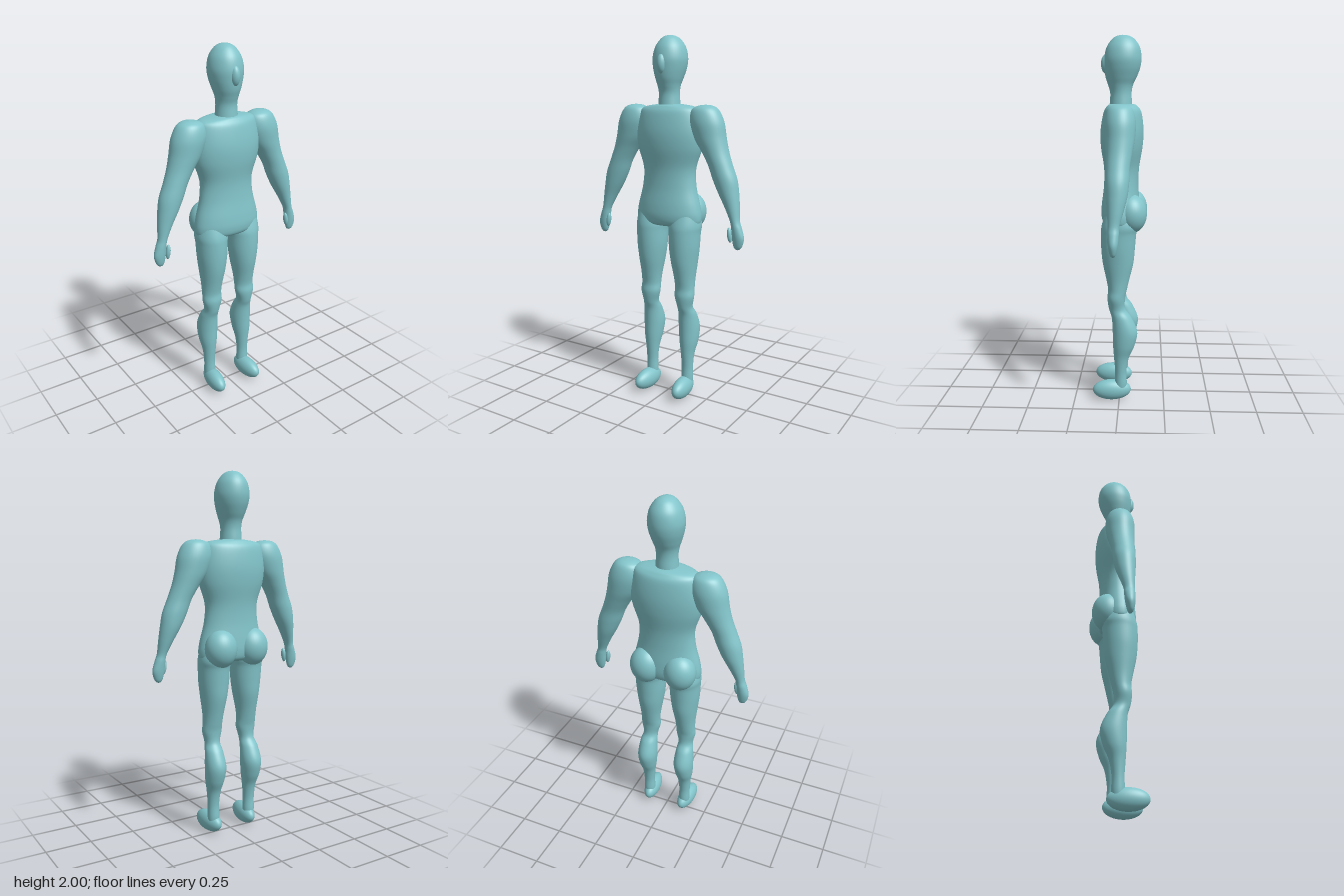
import * as THREE from 'three';

const skin = new THREE.MeshStandardMaterial({ color: 0x82c4ca });
skin.name = 'teal';

// Smooth skin through horizontal elliptical sections, listed top to bottom:
// [y, xMin, xMax, zBack, zFront]
function loft(name, rows, side = 1, steps = 6, around = 40) {
  const centre = new THREE.CatmullRomCurve3(
    rows.map(([y, x0, x1, z0, z1]) => new THREE.Vector3(side * (x0 + x1) / 2, y, (z0 + z1) / 2)), false, 'catmullrom');
  const radius = new THREE.CatmullRomCurve3(
    rows.map(([, x0, x1, z0, z1]) => new THREE.Vector3((x1 - x0) / 2, 0, (z1 - z0) / 2)), false, 'catmullrom');
  const n = (rows.length - 1) * steps;
  const pos = [], index = [];
  for (let i = 0; i <= n; i++) {
    const c = centre.getPoint(i / n), r = radius.getPoint(i / n);
    for (let j = 0; j < around; j++) {
      const a = (j / around) * Math.PI * 2;
      pos.push(c.x + Math.max(r.x, 0.0005) * Math.cos(a), c.y, c.z + Math.max(r.z, 0.0005) * Math.sin(a));
      if (i < n) {
        const p = i * around + j, q = i * around + (j + 1) % around;
        index.push(p, q, p + around, q, q + around, p + around);
      }
    }
  }
  const g = new THREE.BufferGeometry();
  g.setAttribute('position', new THREE.Float32BufferAttribute(pos, 3));
  g.setIndex(index);
  g.computeVertexNormals();
  const m = new THREE.Mesh(g, skin);
  m.name = name;
  return m;
}

function ellipsoid(name, [x, y, z], [rx, ry, rz]) {
  const g = new THREE.SphereGeometry(1, 36, 24);
  g.scale(rx, ry, rz);
  const m = new THREE.Mesh(g, skin);
  m.name = name;
  m.position.set(x, y, z);
  return m;
}

// Symmetric section for parts on the centre line
const mid = (y, w, z0, z1) => [y, -w, w, z0, z1];

export function createModel() {
  const body = new THREE.Group();
  body.name = 'figure';

  // Head, running into the neck
  body.add(loft('headAndNeck', [
    mid(2.0, 0, -0.015, -0.015), mid(1.994, 0.028, -0.05, 0.018), mid(1.975, 0.055, -0.08, 0.045),
    mid(1.935, 0.081, -0.106, 0.072), mid(1.88, 0.093, -0.114, 0.085), mid(1.83, 0.088, -0.107, 0.084),
    mid(1.78, 0.074, -0.088, 0.077), mid(1.74, 0.061, -0.069, 0.064), mid(1.7, 0.056, -0.062, 0.053),
    mid(1.65, 0.059, -0.064, 0.055), mid(1.6, 0.064, -0.066, 0.06),
  ]));
  body.add(ellipsoid('nose', [0, 1.85, 0.072], [0.026, 0.052, 0.03]));

  // Trunk from the shoulder line to the crotch
  body.add(loft('torso', [
    mid(1.645, 0.01, -0.02, 0.01), mid(1.64, 0.08, -0.075, 0.055), mid(1.625, 0.16, -0.098, 0.073),
    mid(1.59, 0.185, -0.117, 0.09), mid(1.5, 0.2, -0.127, 0.105), mid(1.41, 0.192, -0.122, 0.103),
    mid(1.3, 0.158, -0.104, 0.087), mid(1.2, 0.163, -0.101, 0.088), mid(1.1, 0.188, -0.108, 0.1),
    mid(1.04, 0.197, -0.108, 0.102), mid(1.0, 0.186, -0.095, 0.09), mid(0.985, 0.13, -0.06, 0.055),
    mid(0.985, 0.0, 0, 0),
  ]));

  for (const [label, s] of [['left', 1], ['right', -1]]) {
    body.add(ellipsoid(label + 'Buttock', [s * 0.1, 1.06, -0.065], [0.09, 0.105, 0.084]));

    // Shoulder to fingertips
    body.add(loft(label + 'Arm', [
      [1.641, 0.22, 0.22, -0.01, -0.01], [1.634, 0.175, 0.262, -0.05, 0.03], [1.61, 0.14, 0.294, -0.076, 0.057],
      [1.55, 0.13, 0.323, -0.09, 0.071], [1.47, 0.16, 0.338, -0.086, 0.068], [1.4, 0.208, 0.356, -0.074, 0.062],
      [1.33, 0.25, 0.382, -0.063, 0.06], [1.26, 0.278, 0.41, -0.06, 0.06], [1.19, 0.312, 0.423, -0.052, 0.056],
      [1.12, 0.352, 0.432, -0.034, 0.049], [1.05, 0.387, 0.439, -0.014, 0.044], [1.01, 0.396, 0.453, -0.012, 0.044],
      [0.96, 0.401, 0.467, -0.008, 0.042], [0.92, 0.409, 0.459, 0.0, 0.036], [0.902, 0.419, 0.447, 0.008, 0.028],
      [0.896, 0.434, 0.434, 0.018, 0.018],
    ], s));
    const thumb = ellipsoid(label + 'Thumb', [s * 0.393, 0.975, 0.033], [0.013, 0.04, 0.015]);
    thumb.rotation.z = s * 0.12;
    body.add(thumb);

    // Hip to ankle
    body.add(loft(label + 'Leg', [
      [1.08, 0.03, 0.18, -0.07, 0.07], [1.0, 0.014, 0.194, -0.1, 0.094], [0.95, 0.018, 0.191, -0.092, 0.099],
      [0.87, 0.022, 0.187, -0.085, 0.098], [0.79, 0.033, 0.178, -0.077, 0.09], [0.7, 0.049, 0.168, -0.056, 0.071],
      [0.64, 0.055, 0.166, -0.042, 0.061], [0.59, 0.055, 0.168, -0.032, 0.065], [0.53, 0.07, 0.156, -0.034, 0.056],
      [0.48, 0.066, 0.166, -0.068, 0.041], [0.4, 0.06, 0.174, -0.1, 0.036], [0.32, 0.067, 0.17, -0.085, 0.034],
      [0.25, 0.079, 0.157, -0.055, 0.029], [0.17, 0.086, 0.151, -0.041, 0.023], [0.1, 0.084, 0.151, -0.043, 0.025],
      [0.06, 0.087, 0.148, -0.04, 0.022],
    ], s));

    // Foot, turned out a little
    const foot = ellipsoid(label + 'Foot', [s * 0.118, 0.058, 0.041], [0.046, 0.058, 0.107]);
    foot.rotation.y = s * 0.08;
    body.add(foot);
  }
  return body;
}
